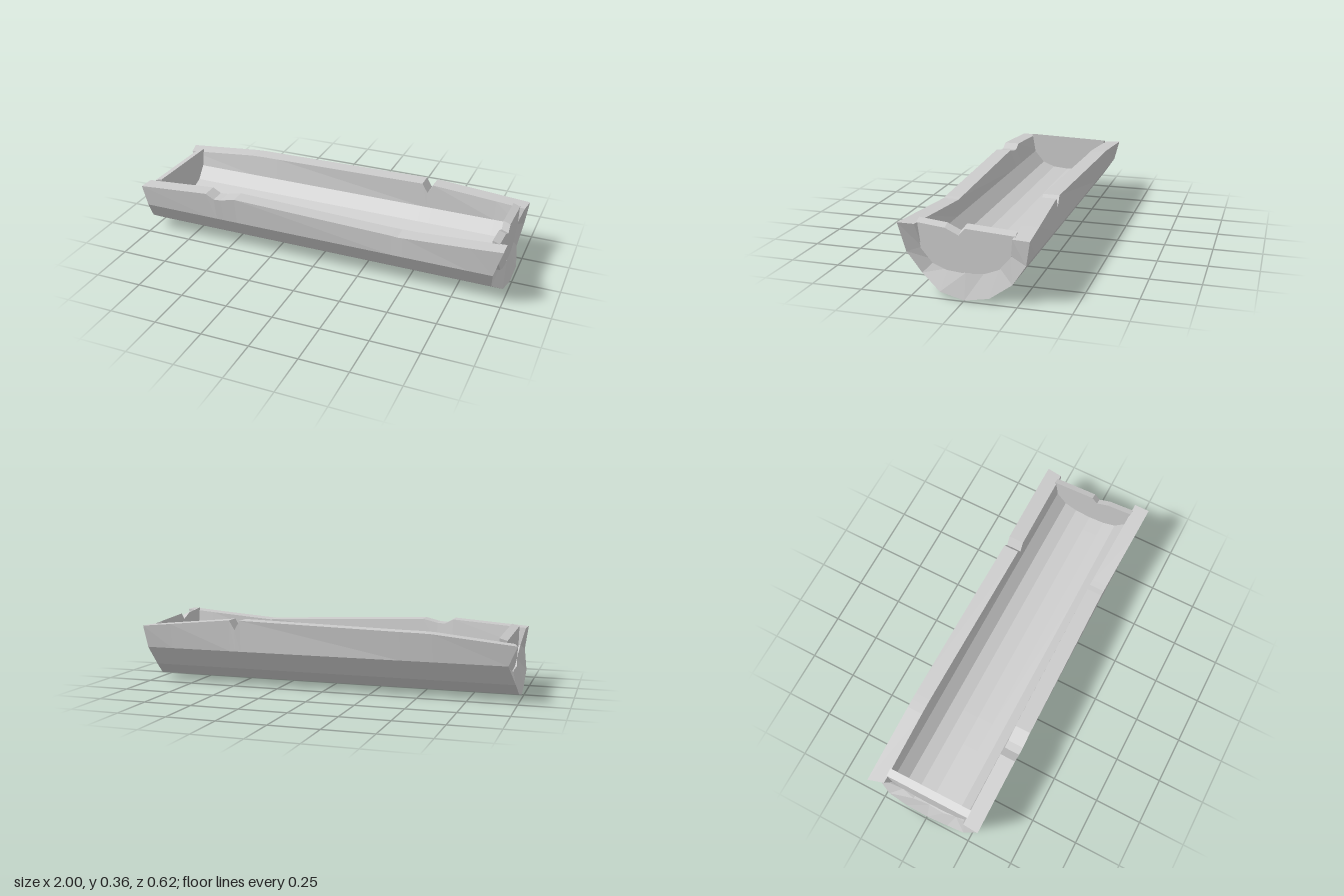
import * as THREE from 'three';

const material = new THREE.MeshStandardMaterial({ color: 0xcccccc, flatShading: true });

// Half profiles as [z, y], rim first, keel last
const OUTER = [[0.308, 0.345], [0.287, 0.195], [0.219, 0.093], [0.12, 0.027], [0, 0.002]];
const INNER = [[0.226, 0.345], [0.21, 0.225], [0.155, 0.16], [0.087, 0.133], [0, 0.125]];

// Full profile from the front rim to the back rim
const full = (half) => [...half, ...half.slice(0, -1).reverse().map(([z, y]) => [-z, y])];

// Stations along the trough: [x, front rim height, back rim height, rim inset]
const STATIONS = [
  [-0.98, 0.315, 0.297, 0],
  [-0.585, 0.345, 0.337, 0],
  [-0.54, 0.32, 0.339, 0],
  [-0.5, 0.323, 0.34, 0],
  [-0.42, 0.342, 0.341, 0.001],
  [0.44, 0.308, 0.36, 0.015],
  [0.47, 0.305, 0.31, 0.015],
  [0.5, 0.307, 0.36, 0.014],
  [0.84, 0.332, 0.328, 0.004],
  [1, 0.345, 0.313, 0],
];

// Ragged end positions, front rim to back rim
const LEFT_OUTER = [-0.98, -0.965, -0.985, -0.985, -0.99, -0.99, -0.985, -0.955, -1];
const LEFT_INNER = [-0.975, -0.95, -0.94, -0.95, -0.945, -0.955, -0.94, -0.945, -0.975];
const RIGHT_OUTER = [1, 0.955, 0.94, 0.98, 0.99, 0.995, 0.97, 0.985, 1];
const RIGHT_INNER = [1, 0.955, 0.935, 0.95, 0.965, 0.96, 0.95, 0.96, 0.99];

function section(profile, [x, front, back, inset], ends) {
  return full(profile).map(([z, y], i) => {
    const rim = i === 0 || i === 8;
    const height = i === 0 ? front : i === 8 ? back : y;
    return [ends ? ends[i] : x, height, rim ? z - Math.sign(z) * inset : z];
  });
}

function troughShell() {
  const positions = [];
  const quad = (a, b, c, d) => positions.push(...a, ...b, ...c, ...a, ...c, ...d);
  const last = STATIONS.length - 1;
  const loops = STATIONS.map((s, k) => {
    const outer = section(OUTER, s, k === 0 ? LEFT_OUTER : k === last ? RIGHT_OUTER : null);
    const inner = section(INNER, s, k === 0 ? LEFT_INNER : k === last ? RIGHT_INNER : null);
    return [...outer, ...inner.reverse()];
  });
  // Walls and rims
  for (let k = 0; k < last; k++) {
    for (let i = 0; i < 18; i++) {
      const j = (i + 1) % 18;
      quad(loops[k][i], loops[k][j], loops[k + 1][j], loops[k + 1][i]);
    }
  }
  // Broken end lips
  for (let i = 0; i < 8; i++) {
    const [l, r] = [loops[0], loops[last]];
    quad(r[i], r[i + 1], r[16 - i], r[17 - i]);
    quad(l[i + 1], l[i], l[17 - i], l[16 - i]);
  }
  const geometry = new THREE.BufferGeometry();
  geometry.setAttribute('position', new THREE.Float32BufferAttribute(positions, 3));
  geometry.computeVertexNormals();
  return new THREE.Mesh(geometry, material);
}

// End plate filling the inner profile; top runs from back to front as [z, y]
function endPlate(x, thickness, top, slope) {
  const lower = full(INNER).slice(1, -1).map(([z, y]) => [z * 1.01, y - 0.004]);
  const shape = new THREE.Shape([...lower, ...top].map(([z, y]) => new THREE.Vector2(-z, y)));
  const geometry = new THREE.ExtrudeGeometry(shape, { depth: thickness, bevelEnabled: false });
  geometry.rotateY(Math.PI / 2);
  geometry.translate(x, 0, 0);
  // Slant the top edge down toward the outside
  const p = geometry.attributes.position;
  for (let i = 0; i < p.count; i++) {
    const outside = (p.getX(i) - x - thickness / 2) * x > 0;
    if (outside && p.getY(i) > 0.28) p.setY(i, p.getY(i) - slope);
  }
  geometry.computeVertexNormals();
  return new THREE.Mesh(geometry, material);
}

export function createModel() {
  const group = new THREE.Group();
  group.name = 'stoneTrough';

  const shell = troughShell();
  shell.name = 'troughShell';

  const right = endPlate(0.928, 0.036,
    [[-0.232, 0.332], [0, 0.346], [0.03, 0.312], [0.095, 0.342], [0.23, 0.356]], 0.014);
  right.name = 'chippedEndPlate';

  const left = endPlate(-0.94, 0.04, [[-0.23, 0.322], [0.23, 0.335]], 0.012);
  left.name = 'plainEndPlate';

  group.add(shell, right, left);
  return group;
}
